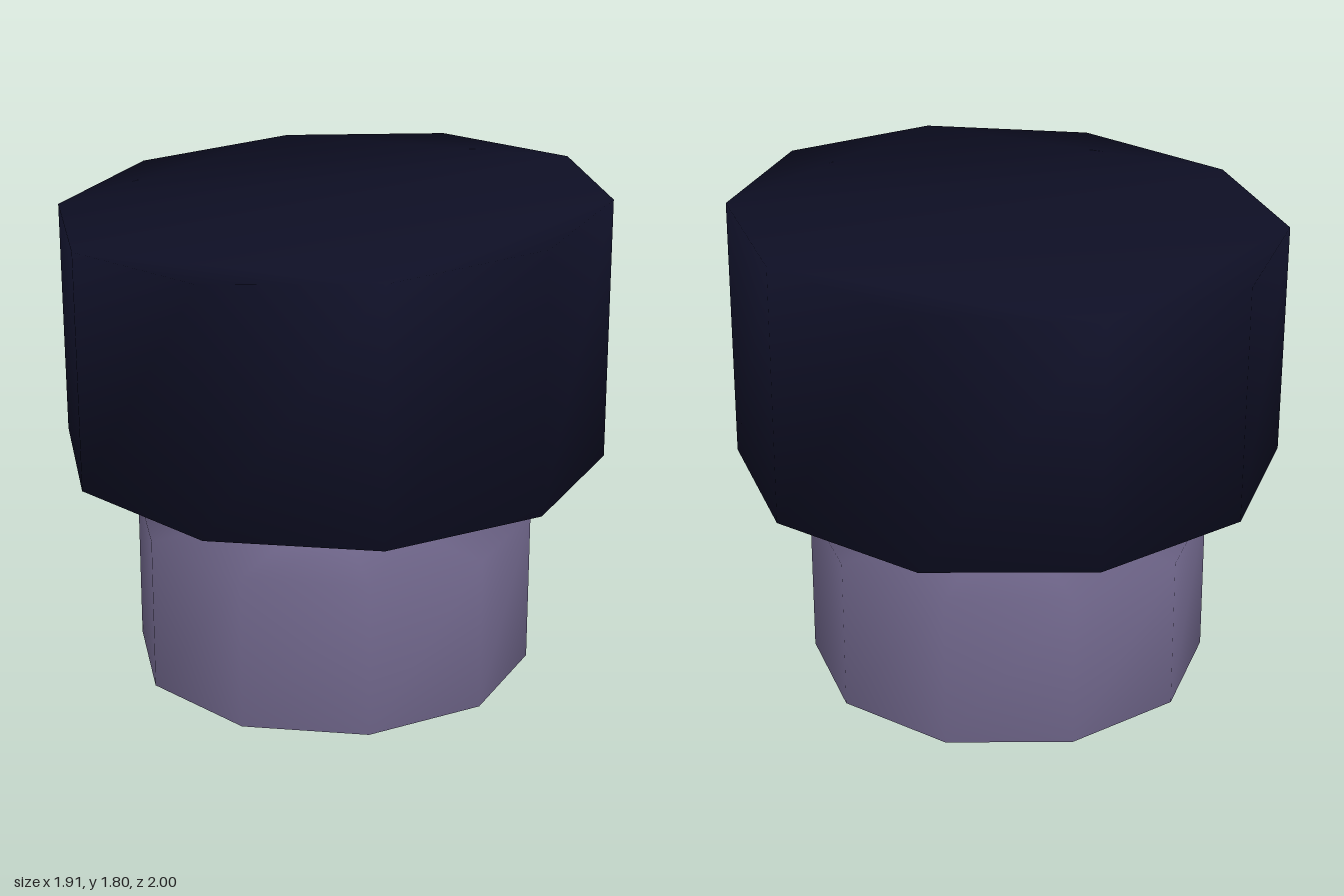
import * as THREE from 'three';

const SIDES = 10;

// Profile rings [radius, height], from the open bottom rim up to the head
const RINGS = [
  [0.74, 0], [0.74, 0.58],     // base wall
  [0.405, 0.58], [0.405, 0.83], // neck
  [1, 0.83], [1, 1.75],        // head
];

// Side faces between ring r and ring r + 1
function band(r) {
  const index = [];
  for (let i = 0; i < SIDES; i++) {
    const j = (i + 1) % SIDES;
    const a = r * SIDES + i, b = r * SIDES + j;
    index.push(a, b, b + SIDES, a, b + SIDES, a + SIDES);
  }
  return index;
}

// Lid of the head: two outer segments and a middle strip
function lid() {
  const first = (RINGS.length - 1) * SIDES;
  return [
    9, 0, 1, 9, 1, 3, 1, 2, 3,
    4, 5, 6, 4, 6, 8, 6, 7, 8,
    9, 3, 4, 9, 4, 8,
  ].map((i) => first + i);
}

export function createModel() {
  const group = new THREE.Group();
  group.name = 'knob';

  const positions = [];
  RINGS.forEach(([radius, height], r) => {
    const top = r === RINGS.length - 1;
    for (let i = 0; i < SIDES; i++) {
      const angle = (i / SIDES) * Math.PI * 2;
      const x = Math.sin(angle) * radius, z = Math.cos(angle) * radius;
      // The top ring is slightly tilted
      positions.push(top ? x - 0.004 : x, top ? height + 0.046 * x - 0.015 * z : height, z);
    }
  });

  const parts = [
    ['base', 'dusty purple', 0x6a6184, [...band(0), ...band(1)]],
    ['neck', 'slate blue', 0x47475f, band(2)],
    ['head', 'dark navy', 0x0e0f25, [...band(3), ...band(4), ...lid()]],
  ];

  // One shell with normals shared across all parts
  const shell = new THREE.BufferGeometry();
  shell.setAttribute('position', new THREE.Float32BufferAttribute(positions, 3));
  shell.setIndex(parts.flatMap((part) => part[3]));
  shell.computeVertexNormals();

  for (const [name, colorName, color, index] of parts) {
    const geometry = shell.clone();
    geometry.setIndex(index);
    const material = new THREE.MeshStandardMaterial({ color, side: THREE.DoubleSide });
    material.name = colorName;
    const mesh = new THREE.Mesh(geometry, material);
    mesh.name = name;
    group.add(mesh);
  }
  return group;
}
